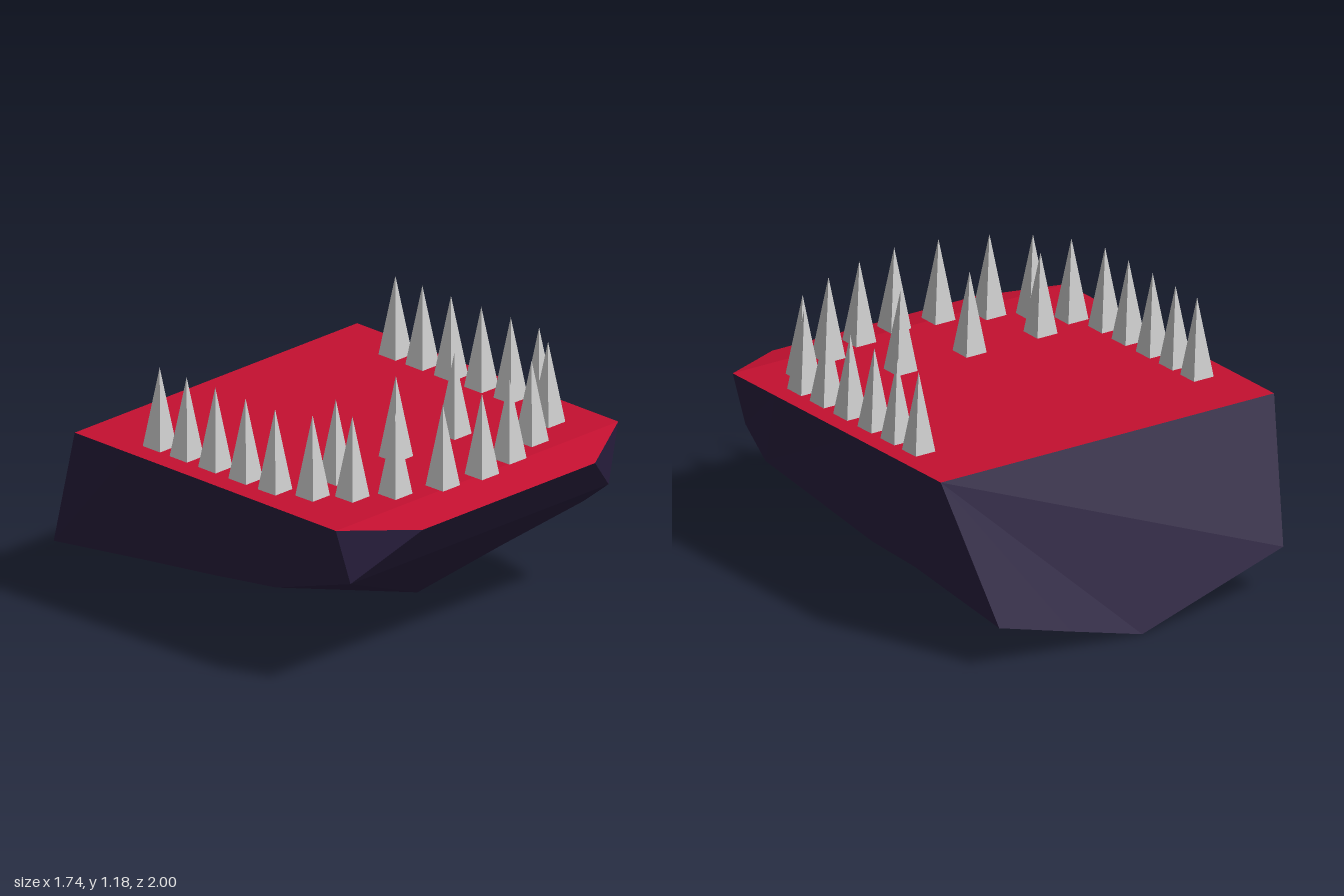
import * as THREE from 'three';

const hideMaterial = new THREE.MeshStandardMaterial({ color: 0x2a2040, flatShading: true });
const gumMaterial = new THREE.MeshStandardMaterial({ color: 0xc41030, flatShading: true });
const toothMaterial = new THREE.MeshStandardMaterial({ color: 0xcccccc, flatShading: true });

// Faceted geometry from convex polygons, corners counter-clockwise from outside
function facets(polygons) {
  const positions = [];
  for (const p of polygons) {
    for (let i = 1; i < p.length - 1; i++) positions.push(...p[0], ...p[i], ...p[i + 1]);
  }
  const geometry = new THREE.BufferGeometry();
  geometry.setAttribute('position', new THREE.Float32BufferAttribute(positions, 3));
  geometry.computeVertexNormals();
  return geometry;
}

// Cross-sections from back to front: left rim, left side, left belly, keel, right side, right rim
const sections = [
  [[0.87, 0.82, -0.74], [0.74, 0.2, -0.99], [0.37, 0.1, -1], [0, 0, -1], [-0.75, 0.22, -0.98], [-0.87, 0.82, -0.74]],
  [[0.87, 0.816, -0.42], [0.78, 0.3, -0.42], [0.51, 0.11, -0.55], [0.1, 0.01, -0.4], [-0.76, 0.29, -0.42], [-0.87, 0.816, -0.42]],
  [[0.87, 0.812, -0.1], [0.78, 0.31, -0.1], [0.46, 0.19, -0.05], [0.1, 0.06, 0], [-0.77, 0.34, 0], [-0.87, 0.812, -0.1]],
  [[0.87, 0.804, 0.5], [0.79, 0.42, 0.68], [0.45, 0.27, 0.52], [0.1, 0.11, 0.36], [-0.78, 0.39, 0.37], [-0.87, 0.804, 0.5]],
  [[0.87, 0.8, 0.81], [0.79, 0.54, 0.83], [0.45, 0.54, 0.83], [0.1, 0.54, 0.83], [-0.8, 0.54, 0.83], [-0.87, 0.8, 0.81]],
  [[0.87, 0.8, 0.81], [0.53, 0.76, 1], [0.3, 0.76, 1], [0.07, 0.76, 1], [-0.53, 0.76, 1], [-0.87, 0.8, 0.81]],
];

function createJaw() {
  const polygons = [sections[0]];
  for (let i = 0; i < sections.length - 1; i++) {
    const back = sections[i], front = sections[i + 1];
    for (let j = 0; j < back.length - 1; j++) {
      const a = back[j], b = back[j + 1], c = front[j + 1], d = front[j];
      // Rim corners meet at the chamfered front
      if (a.join() === d.join()) polygons.push([a, c, b]);
      else if (b.join() === c.join()) polygons.push([a, d, b]);
      else polygons.push([a, d, c, b]);
    }
  }
  const jaw = new THREE.Mesh(facets(polygons), hideMaterial);
  jaw.name = 'jaw';
  return jaw;
}

// Flat mouth floor with a sloping lip at the front
function createMouthFloor() {
  const backLeft = sections[0][0], backRight = sections[0][5];
  const left = sections[5][0], right = sections[5][5];
  const lipLeft = sections[5][1], lipRight = sections[5][4];
  const floor = new THREE.Mesh(facets([
    [backLeft, backRight, right, left],
    [left, right, lipRight, lipLeft],
  ]), gumMaterial);
  floor.name = 'mouthFloor';
  return floor;
}

// Tooth positions as x, z
const sideTeeth = [-0.38, -0.22, -0.05, 0.13, 0.305];
const frontTeeth = [
  [-0.66, 0.47], [-0.55, 0.6], [-0.4, 0.71], [-0.19, 0.79], [0.02, 0.82],
  [0.23, 0.78], [0.44, 0.71], [0.645, 0.61], [0.735, 0.47],
];
const innerTeeth = [[-0.46, 0.415], [-0.09, 0.415], [0.27, 0.415]];

function createTeeth() {
  const teeth = new THREE.Group();
  teeth.name = 'teeth';
  // Square-based spike standing on the mouth floor
  const spike = new THREE.ConeGeometry(0.074, 0.37, 4).rotateY(Math.PI / 4).translate(0, 0.185, 0);
  const spots = [...frontTeeth, ...innerTeeth];
  for (const z of sideTeeth) spots.push([-0.72, z], [0.735, z - 0.003]);
  for (const [x, z] of spots) {
    const tooth = new THREE.Mesh(spike, toothMaterial);
    tooth.name = 'tooth';
    tooth.position.set(x, 0.808, z);
    teeth.add(tooth);
  }
  return teeth;
}

export function createModel() {
  const model = new THREE.Group();
  model.name = 'lowerJaw';
  model.add(createJaw(), createMouthFloor(), createTeeth());
  return model;
}
